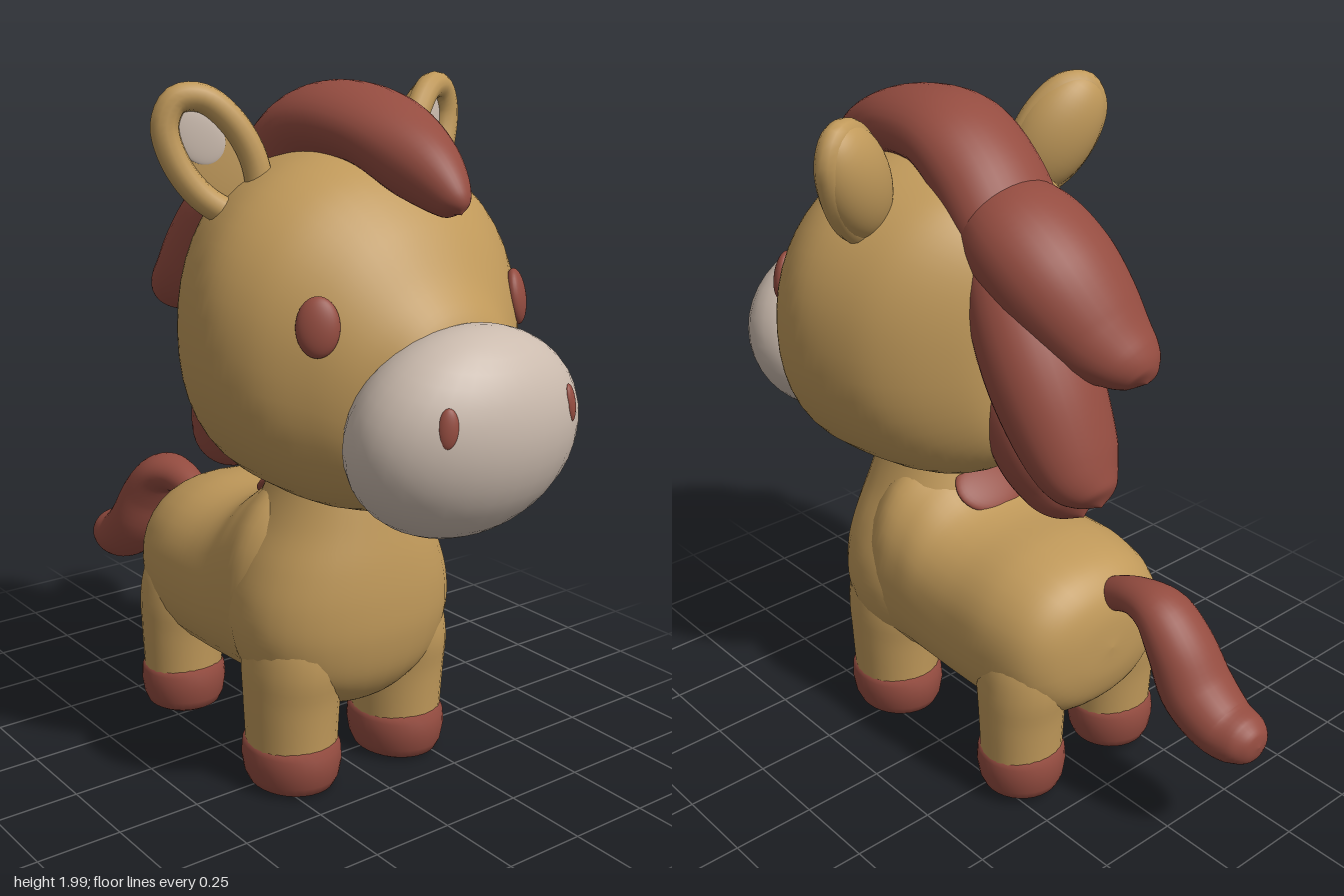
import * as THREE from 'three';

const mat = (name, color) => {
  const m = new THREE.MeshStandardMaterial({ color });
  m.name = name;
  return m;
};
const X = new THREE.Vector3(1, 0, 0), Y = new THREE.Vector3(0, 1, 0);

// Smooth skin over oval rings; each row is [x, y, z, radius in the xy plane, radius across].
// Rings stand square to the axis, or follow the path if none is given; power < 1 makes them boxier.
function loft(rows, { axis, power = 1, steps = 48, sides = 32 } = {}) {
  const path = new THREE.CatmullRomCurve3(rows.map(r => new THREE.Vector3(r[0], r[1], r[2])), false, 'catmullrom');
  const radii = new THREE.CatmullRomCurve3(rows.map(r => new THREE.Vector3(r[3], r[4], 0)), false, 'catmullrom');
  const bend = v => Math.sign(v) * Math.abs(v) ** power;
  const pos = [], index = [];
  for (let i = 0; i <= steps; i++) {
    const u = i / steps;
    const p = path.getPoint(u), r = radii.getPoint(u), t = axis || path.getTangent(u);
    const b = new THREE.Vector3(0, 0, 1).addScaledVector(t, -t.z).normalize();
    const n = new THREE.Vector3().crossVectors(b, t);
    for (let j = 0; j < sides; j++) {
      const a = (j / sides) * Math.PI * 2;
      const v = p.clone()
        .addScaledVector(n, Math.max(r.x, 0) * bend(Math.cos(a)))
        .addScaledVector(b, Math.max(r.y, 0) * bend(Math.sin(a)));
      pos.push(v.x, v.y, v.z);
      if (i < steps) {
        const k = (j + 1) % sides, o = i * sides, q = o + sides;
        index.push(o + j, o + k, q + j, o + k, q + k, q + j);
      }
    }
  }
  const g = new THREE.BufferGeometry();
  g.setAttribute('position', new THREE.Float32BufferAttribute(pos, 3));
  g.setIndex(index);
  g.computeVertexNormals();
  return g;
}

export function createModel() {
  const model = new THREE.Group();
  model.name = 'pony';
  const tan = mat('tan coat', 0xc0995a);
  const red = mat('russet hair', 0x944c40);
  const cream = mat('cream muzzle', 0xcbbbae);

  const add = (name, geometry, material, parent = model) => {
    const m = new THREE.Mesh(geometry, material);
    m.name = name;
    parent.add(m);
    return m;
  };
  const ball = (name, material, [x, y, z], [rx, ry, rz], parent = model) => {
    const m = add(name, new THREE.SphereGeometry(1, 32, 20), material, parent);
    m.position.set(x, y, z);
    m.scale.set(rx, ry, rz);
    return m;
  };

  // Torso, and the chest rising into the neck
  add('torso', loft([
    [-0.5, 0.5, 0, 0, 0], [-0.489, 0.5, 0, 0.11, 0.13], [-0.455, 0.495, 0, 0.19, 0.225],
    [-0.385, 0.495, 0, 0.243, 0.285], [-0.26, 0.495, 0, 0.272, 0.314], [-0.1, 0.495, 0, 0.277, 0.315],
    [0, 0.51, 0, 0.29, 0.318], [0.1, 0.545, 0, 0.325, 0.326], [0.22, 0.57, 0, 0.345, 0.325],
    [0.36, 0.57, 0, 0.2, 0.22], [0.42, 0.57, 0, 0, 0],
  ], { axis: X, power: 0.88, steps: 60 }), tan);
  add('chest', loft([
    [0.25, 0.218, 0, 0, 0], [0.25, 0.23, 0, 0.1, 0.11], [0.25, 0.27, 0, 0.17, 0.2],
    [0.25, 0.35, 0, 0.225, 0.3], [0.25, 0.46, 0, 0.252, 0.342], [0.25, 0.57, 0, 0.256, 0.34],
    [0.25, 0.68, 0, 0.246, 0.304], [0.25, 0.79, 0, 0.225, 0.248], [0.255, 0.9, 0, 0.195, 0.2],
    [0.255, 1, 0, 0.16, 0.17],
  ], { axis: Y, power: 0.93 }), tan);

  // Legs and hooves
  const hoofProfile = [[0, 0], [0.72, 0], [0.86, 0.012], [0.95, 0.04], [1, 0.085], [0.98, 0.125], [0.9, 0.148], [0, 0.148]]
    .map(([x, y]) => new THREE.Vector2(x, y));
  for (const s of [1, -1]) {
    const side = s > 0 ? 'Left' : 'Right';
    for (const [end, x, lift, rx, rz, zc] of [
      ['front', 0.285, 0, 0.158, 0.14, 0.195], ['rear', -0.315, 0.015, 0.135, 0.133, 0.187],
    ]) {
      const z = zc * s;
      add(end + side + 'Leg', loft([
        [x, 0.08, z, rx * 0.88, rz * 0.92], [x, 0.17, z, rx * 0.9, rz * 0.95],
        [x, 0.28, z, rx * 0.95, rz * 0.98], [x, 0.38, z * 0.98, rx * 1.04, rz],
        [x, 0.48, z * 0.87, rx, rz], [x, 0.58, z * 0.6, rx * 0.85, rz * 0.9],
      ], { axis: Y, steps: 20, sides: 24 }), tan);
      const hoof = add(end + side + 'Hoof', new THREE.LatheGeometry(hoofProfile, 32), red);
      hoof.position.set(x, lift, z);
      hoof.scale.set(rx, 1, rz);
    }
  }

  // Head, narrowing towards the muzzle
  add('head', loft([
    [-0.148, 1.31, 0, 0, 0], [-0.138, 1.31, 0, 0.22, 0.13], [-0.1, 1.32, 0, 0.34, 0.235],
    [0, 1.33, 0, 0.432, 0.365], [0.12, 1.335, 0, 0.47, 0.45], [0.3, 1.34, 0, 0.48, 0.5],
    [0.45, 1.315, 0, 0.46, 0.46], [0.58, 1.27, 0, 0.392, 0.36], [0.68, 1.21, 0, 0.305, 0.262],
    [0.76, 1.19, 0, 0.205, 0.165], [0.8, 1.18, 0, 0, 0],
  ], { axis: X, power: 0.92, steps: 60, sides: 48 }), tan);

  // Muzzle with nostrils, leaning forward at the top
  const snout = new THREE.Group();
  snout.name = 'snout';
  snout.position.set(0.758, 1.137, 0);
  snout.rotation.z = -0.25;
  model.add(snout);
  ball('muzzle', cream, [0, 0, 0], [0.224, 0.286, 0.347], snout);

  for (const s of [1, -1]) {
    const side = s > 0 ? 'left' : 'right';
    const nostril = ball(side + 'Nostril', red, [0.146, 0.12, 0.205 * s], [0.014, 0.05, 0.026], snout);
    nostril.rotation.set(0.1 * s, -0.6 * s, 0.4);

    // Eye
    const eye = ball(side + 'Eye', red, [0.588, 1.42, 0.336 * s], [0.056, 0.077, 0.028]);
    eye.lookAt(0.588 + 0.75, 1.42 + 0.15, (0.336 + 0.62) * s);

    // Cupped ear: rounded back, thick rim, floor and pale lining
    const ear = new THREE.Group();
    ear.name = side + 'Ear';
    const face = new THREE.Vector3(0.92, 0.05, 0.38 * s).normalize();
    const up = new THREE.Vector3(-0.1, 0.8, 0.52 * s);
    up.addScaledVector(face, -up.dot(face)).normalize();
    ear.quaternion.setFromRotationMatrix(
      new THREE.Matrix4().makeBasis(new THREE.Vector3().crossVectors(up, face), up, face));
    ear.position.set(0.17, 1.81, 0.368 * s);
    model.add(ear);
    const back = add('earBack', new THREE.SphereGeometry(1, 24, 20, Math.PI, Math.PI), tan, ear);
    back.scale.set(0.126, 0.195, 0.09);
    const loop = [[0, 0.165], [0.06, 0.13], [0.092, 0.03], [0.08, -0.09], [0.03, -0.17],
      [-0.03, -0.17], [-0.08, -0.09], [-0.092, 0.03], [-0.06, 0.13]].map(([x, y]) => new THREE.Vector3(x, y, 0));
    add('earRim', new THREE.TubeGeometry(new THREE.CatmullRomCurve3(loop, true), 48, 0.038, 12, true), tan, ear);
    ball('earFloor', tan, [0, 0, -0.012], [0.1, 0.16, 0.01], ear);
    ball('earLining', cream, [0, 0.055, -0.004], [0.062, 0.08, 0.008], ear);
  }

  // Mane: forelock over the crest, then three overlapping locks down the back
  add('forelock', loft([
    [0.73, 1.685, 0, 0, 0], [0.7, 1.715, 0, 0.052, 0.05], [0.58, 1.79, 0, 0.095, 0.105],
    [0.4, 1.87, 0, 0.1, 0.152], [0.2, 1.875, 0, 0.112, 0.172], [0.06, 1.79, 0, 0.12, 0.175],
    [-0.05, 1.66, 0, 0.11, 0.17], [-0.1, 1.55, 0, 0.08, 0.12],
  ], { steps: 56 }), red);
  add('maneUpperLock', loft([
    [0.06, 1.69, 0, 0.07, 0.1], [-0.06, 1.665, 0, 0.14, 0.182], [-0.2, 1.565, 0.02, 0.158, 0.2],
    [-0.33, 1.42, 0.07, 0.13, 0.165], [-0.42, 1.35, 0.1, 0.088, 0.115], [-0.465, 1.315, 0.11, 0.052, 0.065],
    [-0.484, 1.3, 0.11, 0, 0],
  ]), red);
  add('maneMiddleLock', loft([
    [-0.05, 1.6, 0, 0.12, 0.16], [-0.17, 1.42, -0.04, 0.14, 0.175], [-0.27, 1.25, -0.05, 0.14, 0.17],
    [-0.37, 1.07, -0.04, 0.108, 0.14], [-0.435, 0.99, -0.03, 0.065, 0.08], [-0.465, 0.96, -0.03, 0, 0],
  ]), red);
  add('maneLowerLock', loft([
    [-0.03, 1.4, 0, 0.1, 0.14], [-0.1, 1.2, 0.02, 0.13, 0.17], [-0.16, 1.04, 0.04, 0.148, 0.17],
    [-0.215, 0.935, 0.05, 0.13, 0.14], [-0.275, 0.87, 0.05, 0.085, 0.09], [-0.315, 0.835, 0.05, 0, 0],
  ]), red);
  const root = ball('maneRoot', red, [0.035, 0.828, 0], [0.095, 0.026, 0.13]);
  root.rotation.z = 0.75;

  // Tail, curving down to a full rounded end
  add('tail', loft([
    [-0.4, 0.61, 0.03, 0.04, 0.04], [-0.46, 0.65, 0.04, 0.05, 0.05], [-0.55, 0.68, 0.045, 0.055, 0.065],
    [-0.64, 0.665, 0.05, 0.07, 0.09], [-0.71, 0.585, 0.055, 0.085, 0.105], [-0.77, 0.475, 0.065, 0.095, 0.112],
    [-0.86, 0.4, 0.075, 0.088, 0.1], [-0.94, 0.388, 0.08, 0.074, 0.082], [-0.98, 0.388, 0.08, 0.045, 0.048],
    [-0.992, 0.388, 0.08, 0, 0],
  ]), red);

  return model;
}
